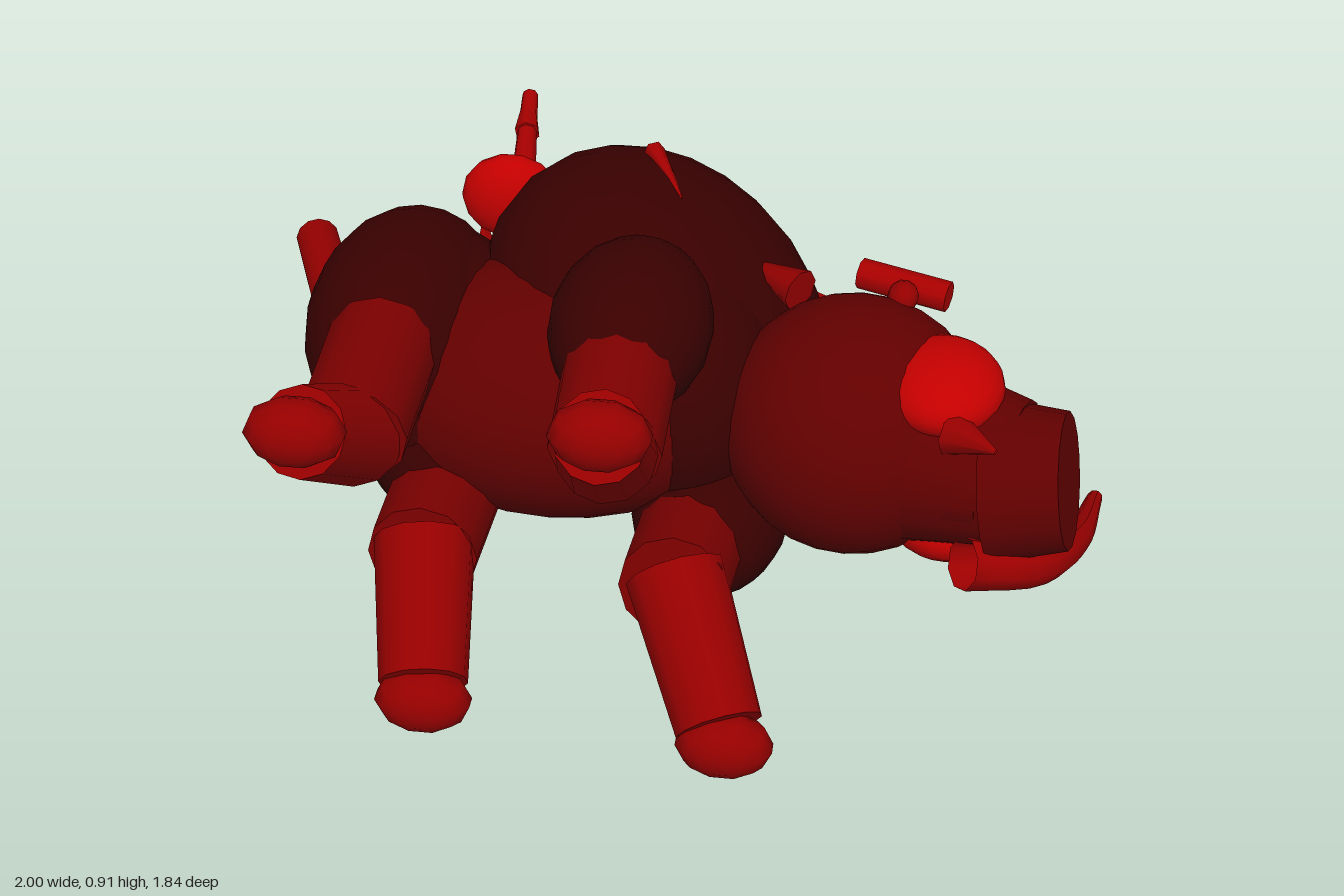
import * as THREE from 'three';

const mat = (name, color, side = THREE.FrontSide) => {
  const m = new THREE.MeshStandardMaterial({ color, side });
  m.name = name;
  return m;
};

export function createModel() {
  const root = new THREE.Group();
  root.name = 'boar';
  const dark = mat('dark hide', 0x3a0000);
  const mid = mat('red hide', 0x620000);
  const thigh = mat('thigh red', 0x7c0000);
  const limb = mat('limb red', 0x960000);
  const spike = mat('spike red', 0xaa0000);
  const bright = mat('bright red', 0xc40000);
  const V = (p) => new THREE.Vector3(...p);

  const add = (name, geo, material) => {
    const m = new THREE.Mesh(geo, material);
    m.name = name;
    root.add(m);
    return m;
  };
  // ellipsoid at c with radii r, turned by tilt about z
  const blob = (name, c, r, material, seg = 20, tilt = 0) => {
    const g = new THREE.SphereGeometry(1, seg, Math.round(seg * 0.7));
    g.rotateX(Math.PI / 2);
    const m = add(name, g, material);
    m.position.set(...c);
    m.scale.set(...r);
    m.rotation.z = tilt;
    return m;
  };
  // tapered rod from a (radius ra) to b (radius rb)
  const rod = (name, a, b, ra, rb, material, seg = 12) => {
    const A = V(a), B = V(b), d = B.clone().sub(A);
    const m = add(name, new THREE.CylinderGeometry(rb, ra, d.length(), seg), material);
    m.position.copy(A).add(B).multiplyScalar(0.5);
    m.quaternion.setFromUnitVectors(new THREE.Vector3(0, 1, 0), d.normalize());
    return m;
  };
  const mix = (a, b, t) => V(a).lerp(V(b), t).toArray();

  // body, lying on its side: spine to -z, feet to +z, head to +x
  blob('hump', [-0.06, 0.465, -0.12], [0.35, 0.46, 0.48], dark, 24, Math.PI / 4);
  blob('belly', [-0.25, 0.46, 0.12], [0.46, 0.29, 0.335], mid, 24);
  blob('chest', [0.05, 0.46, 0.1], [0.2, 0.28, 0.28], dark);
  blob('hindquarters', [-0.54, 0.46, 0.06], [0.27, 0.33, 0.33], dark, 20, 0.6);

  // legs: haunch centre and radii, hip, knee and hoof positions
  const legs = [
    ['rightFront', [-0.07, 0.7, 0.23], [0.18, 0.17, 0.26], [-0.07, 0.7, 0.34], [-0.07, 0.64, 0.62], [-0.04, 0.85, 0.855]],
    ['leftFront', [0.11, 0.23, 0.23], [0.18, 0.17, 0.26], [0.08, 0.23, 0.34], [0.07, 0.28, 0.6], [0.21, 0.08, 0.855]],
    ['rightHind', [-0.61, 0.57, 0.08], [0.22, 0.235, 0.34], [-0.61, 0.64, 0.28], [-0.61, 0.62, 0.6], [-0.65, 0.8, 0.85]],
    ['leftHind', [-0.5, 0.36, 0.08], [0.22, 0.235, 0.34], [-0.48, 0.28, 0.28], [-0.48, 0.3, 0.58], [-0.43, 0.13, 0.85]],
  ];
  for (const [n, haunch, r, hip, knee, foot] of legs) {
    blob(n + 'Haunch', haunch, r, dark);
    rod(n + 'UpperLeg', hip, knee, 0.125, 0.12, thigh);
    const start = [knee[0], knee[1] - Math.sign(foot[1] - 0.46) * 0.02, knee[2] - 0.03];
    rod(n + 'LowerLeg', start, mix(start, foot, 0.9), 0.11, 0.095, limb);
    blob(n + 'Hoof', foot, [0.105, 0.075, 0.068], limb, 10);
  }

  // head
  blob('head', [0.42, 0.465, 0.2], [0.295, 0.285, 0.3], mid, 24);
  rod('muzzle', [0.55, 0.46, 0.27], [0.78, 0.46, 0.34], 0.21, 0.165, mid, 16);
  rod('snout', [0.73, 0.447, 0.35], [0.893, 0.475, 0.372], 0.18, 0.15, mid, 16);
  rod('jaw', [0.5, 0.46, 0.34], [0.72, 0.46, 0.42], 0.13, 0.08, mid);
  blob('rightCheek', [0.61, 0.635, 0.28], [0.135, 0.085, 0.155], bright);
  blob('leftCheek', [0.64, 0.3, 0.28], [0.135, 0.085, 0.145], bright);
  rod('rightBrow', [0.41, 0.7, -0.05], [0.61, 0.69, 0.01], 0.035, 0.035, spike, 8);
  rod('leftBrow', [0.55, 0.25, -0.06], [0.74, 0.25, 0.01], 0.035, 0.035, spike, 8);
  blob('rightEye', [0.51, 0.71, 0.05], [0.035, 0.035, 0.04], limb, 10);
  blob('leftEye', [0.51, 0.22, 0.05], [0.035, 0.035, 0.04], limb, 10);
  rod('rightEar', [0.28, 0.68, 0.01], [0.15, 0.69, -0.09], 0.05, 0.004, limb, 8);
  rod('leftEar', [0.34, 0.24, 0.02], [0.26, 0.2, -0.09], 0.05, 0.004, limb, 8);

  // long curved tusk, tapering along its path, and a short one opposite
  const path = new THREE.CatmullRomCurve3(
    [[0.68, 0.33, 0.5], [0.83, 0.28, 0.42], [0.93, 0.19, 0.2], [0.985, 0.105, -0.08]].map(V));
  const steps = 14, sides = 8;
  const tusk = new THREE.TubeGeometry(path, steps, 0.06, sides);
  const pos = tusk.attributes.position, p = new THREE.Vector3();
  for (let i = 0; i <= steps; i++) {
    const c = path.getPointAt(i / steps), k = 1 - 0.7 * (i / steps);
    for (let j = 0; j <= sides; j++) {
      const q = i * (sides + 1) + j;
      p.fromBufferAttribute(pos, q).sub(c).multiplyScalar(k).add(c);
      pos.setXYZ(q, p.x, p.y, p.z);
    }
  }
  tusk.computeVertexNormals();
  add('longTusk', tusk, mat('tusk red', 0xa00000, THREE.DoubleSide));
  rod('shortTusk', [0.64, 0.61, 0.42], [0.73, 0.62, 0.49], 0.05, 0.005, limb, 8);

  // tail
  rod('tail', [-0.78, 0.47, 0], [-0.95, 0.47, -0.42], 0.055, 0.052, limb);

  // spines along the back
  const spines = [
    [[-0.06, 0.45, -0.52], [-0.14, 0.43, -0.92], 0.055],
    [[-0.27, 0.47, -0.46], [-0.36, 0.5, -0.81], 0.055],
    [[-0.49, 0.46, -0.3], [-0.56, 0.47, -0.56], 0.05],
    [[-0.58, 0.46, -0.2], [-0.69, 0.47, -0.4], 0.06],
    [[0.05, 0.44, -0.52], [0.01, 0.46, -0.64], 0.05],
    [[0.2, 0.46, -0.4], [0.2, 0.46, -0.53], 0.04],
    [[0.28, 0.45, -0.28], [0.37, 0.46, -0.29], 0.05],
    [[0.3, 0.44, -0.25], [0.45, 0.44, -0.12], 0.06],
    [[-0.09, 0.845, -0.29], [0.0, 0.84, -0.09], 0.025],
    [[-0.25, 0.805, -0.29], [-0.25, 0.83, -0.25], 0.025],
  ];
  for (const [a, b, r] of spines) rod('spine', a, b, r, 0.002, spike, 6);

  // arrows stuck in the back: shaft with a flared collar near the end
  const arrows = [
    [[-0.18, 0.34, -0.5], [-0.26, 0.28, -0.83], 0.042],
    [[-0.42, 0.66, -0.36], [-0.465, 0.73, -0.74], 0.032],
    [[-0.48, 0.38, -0.35], [-0.54, 0.35, -0.66], 0.028],
  ];
  for (const [a, b, r] of arrows) {
    rod('arrowShaft', a, b, 0.032, 0.02, spike, 8);
    rod('arrowCollar', mix(a, b, 0.62), mix(a, b, 0.9), r, 0.018, spike, 6);
  }

  // raw patches on the hump
  blob('rightWound', [-0.44, 0.67, -0.34], [0.12, 0.11, 0.065], bright, 14);
  blob('rearWound', [-0.42, 0.31, -0.34], [0.1, 0.1, 0.065], bright, 14);
  blob('frontWound', [0.24, 0.27, -0.285], [0.065, 0.105, 0.055], bright, 14);
  return root;
}
